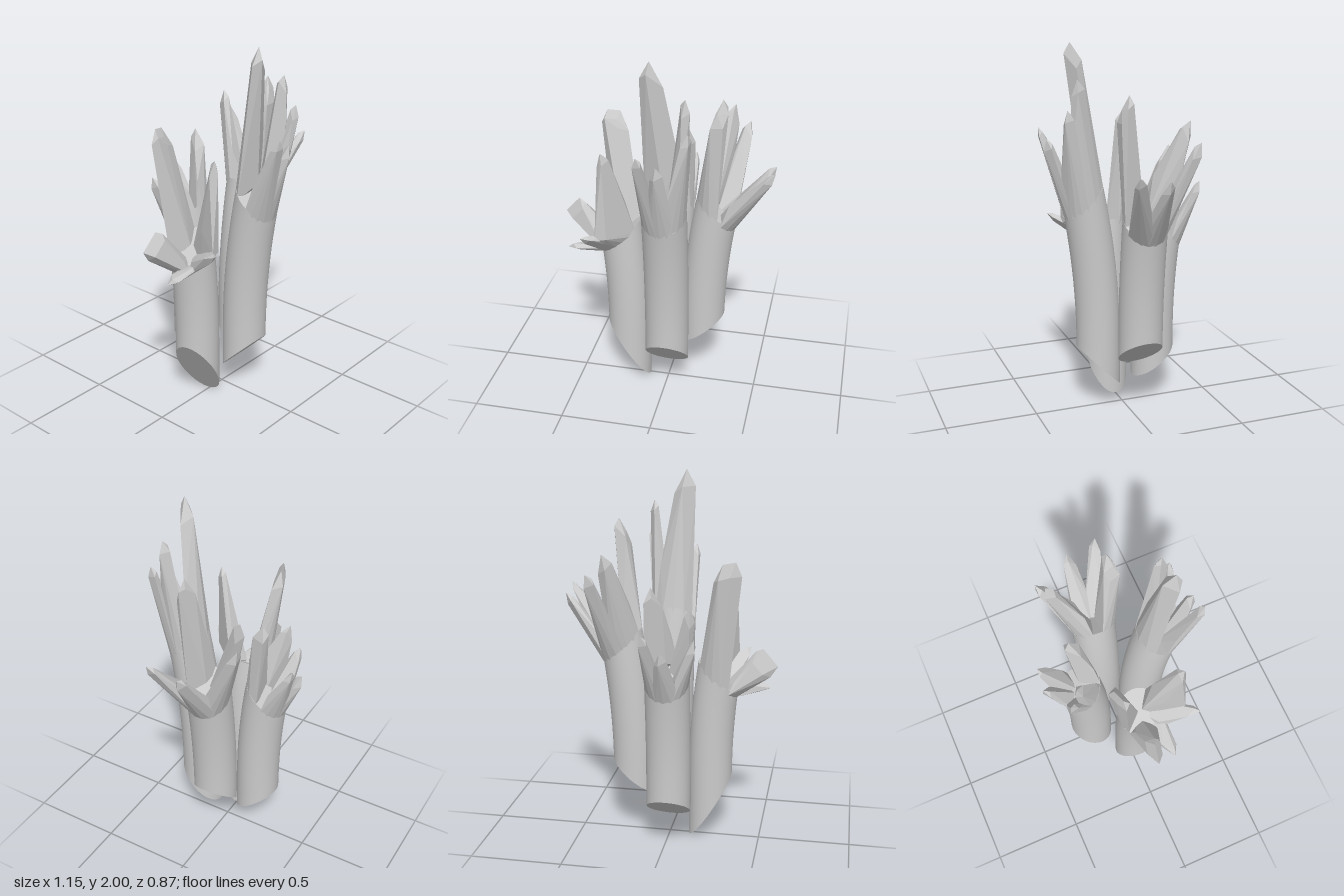
import * as THREE from 'three';
import { toCreasedNormals } from 'three/addons/utils/BufferGeometryUtils.js';
import { ConvexGeometry } from 'three/addons/geometries/ConvexGeometry.js';

const R = 0.119;
const BEND = 0.125;
const RIM_DROP = 0.17;
const bark = new THREE.MeshStandardMaterial({ color: 0xcccccc });
const wood = new THREE.MeshStandardMaterial({ color: 0xcccccc, flatShading: true });

// Horizontal unit vector for a heading in degrees: 0 = +z, 90 = +x
function toward(heading) {
  const a = THREE.MathUtils.degToRad(heading);
  return new THREE.Vector3(Math.sin(a), 0, Math.cos(a));
}

// Point at height y on the outward-curving log, shifted sideways from its axis
function onLog(log, offset, y) {
  const lean = BEND * Math.max(0, y - 0.4) ** 2;
  return new THREE.Vector3(log.x, y, log.z).addScaledVector(toward(log.out), lean).add(offset);
}

// Height of an end plane that is slanted along a heading
function slant(heading, inner, outer, offset) {
  return inner + (outer - inner) * (offset.dot(toward(heading)) / R + 1) / 2;
}

// Height of the broken top edge: lower on the outer side
function rimHeight(log, offset) {
  return slant(log.out, log.rim + RIM_DROP, log.rim, offset);
}

// Bent cylinder with slanted ends
function trunkGeometry(log) {
  const geo = new THREE.CylinderGeometry(R, R, 1, 28, 10);
  const pos = geo.attributes.position;
  for (let i = 0; i < pos.count; i++) {
    const offset = new THREE.Vector3(pos.getX(i), 0, pos.getZ(i));
    const bottom = slant(log.out + log.cutTurn, log.low, log.high, offset);
    const y = THREE.MathUtils.lerp(bottom, rimHeight(log, offset), pos.getY(i) + 0.5);
    pos.setXYZ(i, ...onLog(log, offset, y));
  }
  return toCreasedNormals(geo, 0.45);
}

// Faceted splinter: hull of two arcs of the log's skin, a point near the axis and blunt tips
function shardGeometry(log, heading, size, tips) {
  const out = toward(heading);
  const half = 10 + 900 * size;
  const rootY = rimHeight(log, out.clone().multiplyScalar(R));
  const root = onLog(log, out.clone().multiplyScalar(R), rootY);
  const rise = Math.max(0, tips[0][1] - rootY);
  const points = [onLog(log, out.clone().multiplyScalar(R * 0.1), rootY)];
  for (let k = -2; k <= 2; k++) {
    for (const [spread, lift] of [[1, -0.03], [0.7, rise * 0.32]]) {
      const offset = toward(heading + half * spread * k / 2).multiplyScalar(R * 0.99);
      points.push(onLog(log, offset, rimHeight(log, offset) + lift));
    }
  }
  for (const t of tips) {
    const tip = new THREE.Vector3(...t);
    const dir = tip.clone().sub(root).normalize();
    const side = toward(heading + 90);
    side.addScaledVector(dir, -side.dot(dir)).normalize();
    const up = dir.clone().cross(side);
    points.push(tip);
    for (const [u, v, back] of [[1, 0.2, 1.5], [-1, 0.3, 2.4], [0.3, 0.7, 0.9], [-0.2, -0.7, 1.8]]) {
      points.push(tip.clone().addScaledVector(side, u * size)
        .addScaledVector(up, v * size).addScaledVector(dir, -back * size));
    }
  }
  return new ConvexGeometry(points);
}

// One log: trunk plus splinters, each given as heading, thickness and tip point(s)
function makeLog(name, log, shards) {
  const group = new THREE.Group();
  group.name = name;
  const trunk = new THREE.Mesh(trunkGeometry(log), bark);
  trunk.name = 'trunk';
  group.add(trunk);
  for (const [heading, size, ...tips] of shards) {
    const splinter = new THREE.Mesh(shardGeometry(log, heading, size, tips), wood);
    splinter.name = 'splinter';
    group.add(splinter);
  }
  return group;
}

export function createModel() {
  const model = new THREE.Group();
  model.name = 'splinteredLogs';

  model.add(makeLog('frontLog',
    { out: 0, cutTurn: 0, x: 0.02, z: 0.147, low: 0.13, high: 0.37, rim: 1.1 }, [
      [185, 0.056, [-0.04, 2, 0.27]],
      [85, 0.036, [0.14, 1.83, 0.29]],
      [45, 0.032, [0.165, 1.68, 0.35]],
      [0, 0.034, [0.02, 1.52, 0.42]],
      [-45, 0.03, [-0.075, 1.57, 0.435]],
    ]));

  model.add(makeLog('backLog',
    { out: 180, cutTurn: 0, x: -0.022, z: -0.186, low: 0.14, high: 0.31, rim: 0.9 }, [
      [35, 0.05, [0.06, 1.46, -0.24]],
      [295, 0.037, [-0.15, 1.36, -0.29]],
      [240, 0.033, [-0.18, 1.22, -0.34]],
      [180, 0.034, [-0.02, 1.17, -0.43]],
      [140, 0.03, [0.075, 1.25, -0.42]],
    ]));

  model.add(makeLog('rightSideLog',
    { out: 90, cutTurn: 0, x: 0.192, z: -0.034, low: 0.26, high: 0.45, rim: 1.02 }, [
      [325, 0.042, [0.29, 1.76, 0.07], [0.265, 1.69, 0.1]],
      [205, 0.042, [0.31, 1.62, -0.25]],
      [150, 0.038, [0.39, 1.52, -0.28]],
      [100, 0.034, [0.56, 1.37, -0.045]],
      [60, 0.03, [0.57, 1.4, 0.12]],
    ]));

  model.add(makeLog('leftSideLog',
    { out: 270, cutTurn: 12, x: -0.223, z: 0.016, low: 0, high: 0.38, rim: 0.85 }, [
      [15, 0.034, [-0.31, 1.48, 0.22], [-0.35, 0.98, 0.24]],
      [335, 0.03, [-0.41, 1.02, 0.3]],
      [170, 0.044, [-0.36, 1.58, -0.13], [-0.295, 1.57, -0.15]],
      [262, 0.036, [-0.58, 1.01, -0.02], [-0.5, 1.1, -0.01]],
      [305, 0.036, [-0.54, 0.85, 0.1]],
    ]));

  return model;
}
